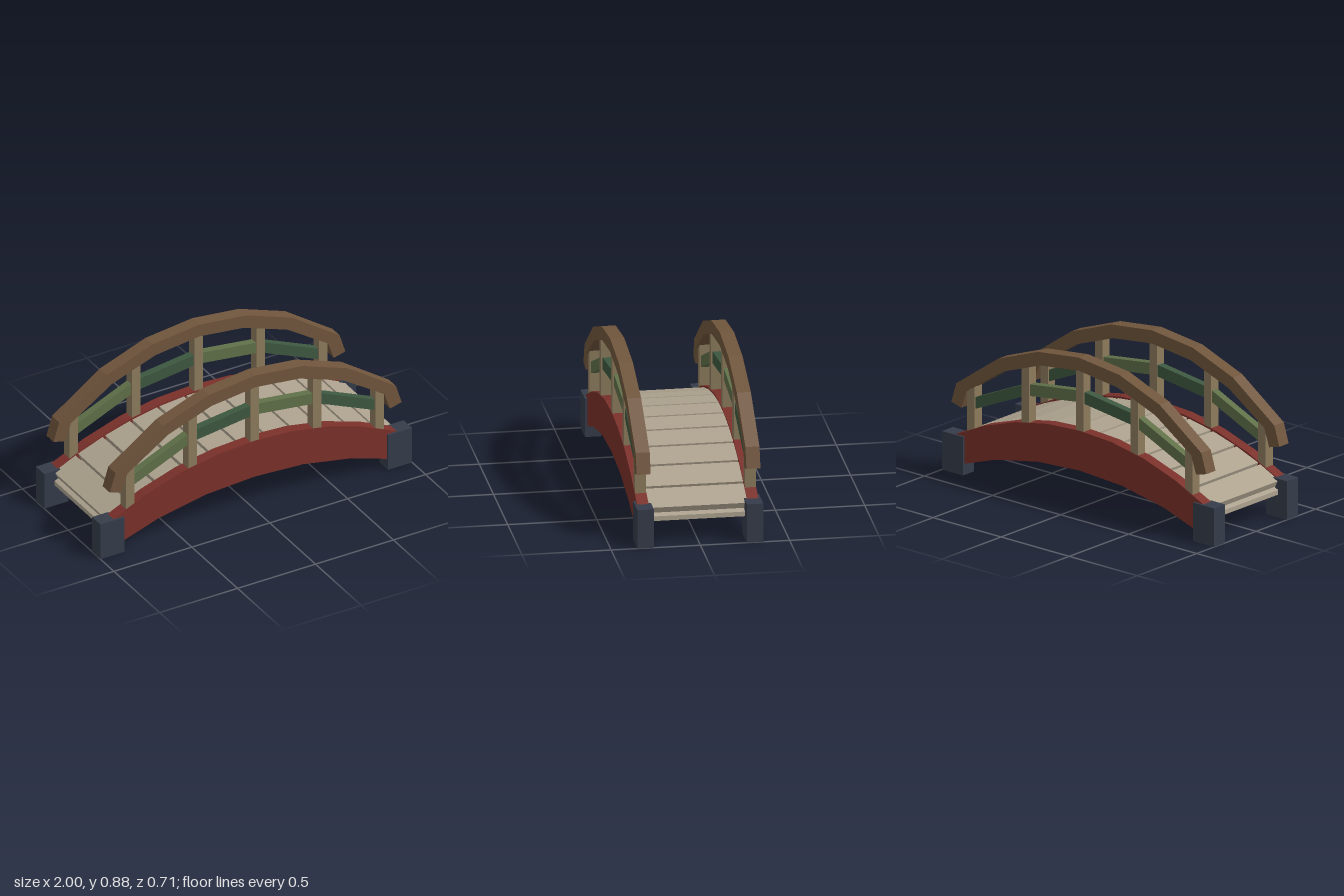
import * as THREE from 'three';

const mat = (name, color) => {
  const m = new THREE.MeshStandardMaterial({ color });
  m.name = name;
  return m;
};

export function createModel() {
  const red = mat('red beam paint', 0x7a302a);
  const brown = mat('handrail wood', 0x70553c);
  const tan = mat('post wood', 0x8c7b5c);
  const lightGreen = mat('light green paint', 0x5f7048);
  const darkGreen = mat('dark green paint', 0x3d5840);
  const slate = mat('slate stone', 0x353c49);
  const weathered = mat('weathered planks', 0xada28e);

  const bridge = new THREE.Group();
  bridge.name = 'archedFootbridge';

  const add = (parent, name, geometry, material) => {
    const mesh = new THREE.Mesh(geometry, material);
    mesh.name = name;
    parent.add(mesh);
    return mesh;
  };

  // Flat outline in x/y, extruded between two z values
  const slab = (points, z0, z1) => {
    const shape = new THREE.Shape(points.map(([x, y]) => new THREE.Vector2(x, y)));
    const g = new THREE.ExtrudeGeometry(shape, { depth: z1 - z0, bevelEnabled: false });
    return g.translate(0, 0, z0);
  };

  // Full symmetric outline from right-half edges listed from the middle outwards
  const mirrorX = (pts) => [...pts.slice(1).reverse().map(([x, y]) => [-x, y]), ...pts];
  const band = (top, bottom) => [...mirrorX(bottom), ...mirrorX(top).reverse()];

  const beamOutline = band(
    [[0, 0.45], [0.235, 0.437], [0.47, 0.394], [0.7, 0.32], [0.92, 0.22]],
    [[0, 0.217], [0.31, 0.199], [0.62, 0.14], [0.92, 0.04]]
  );
  const handrailOutline = band(
    [[0, 0.88], [0.3, 0.846], [0.595, 0.738], [0.9, 0.526], [0.936, 0.41]],
    [[0, 0.803], [0.282, 0.77], [0.562, 0.67], [0.825, 0.497], [0.862, 0.391]]
  );

  // Post positions, tops and middle rail heights
  const posts = [
    [-0.8, 0.54, 0.423], [-0.4, 0.75, 0.597], [0, 0.83, 0.648],
    [0.4, 0.75, 0.597], [0.8, 0.54, 0.423],
  ];

  // One complete side on each edge of the deck
  for (const s of [1, -1]) {
    const side = new THREE.Group();
    side.name = s > 0 ? 'frontSide' : 'backSide';
    bridge.add(side);
    const span = (a, b) => (s > 0 ? [a, b] : [-b, -a]);

    add(side, 'archBeam', slab(beamOutline, ...span(0.275, 0.34)), red);
    add(side, 'handrail', slab(handrailOutline, ...span(0.268, 0.347)), brown);

    posts.forEach(([x, top]) => {
      const bottom = 0.42 - 0.27 * x * x;
      const post = add(side, 'railPost', new THREE.BoxGeometry(0.055, top - bottom, 0.06), tan);
      post.position.set(x, (top + bottom) / 2, s * 0.308);
    });

    // Middle rails, alternating two greens
    for (let i = 0; i < 4; i++) {
      const [x0, , y0] = posts[i];
      const [x1, , y1] = posts[i + 1];
      const h = 0.034;
      const outline = [[x0, y0 - h], [x1, y1 - h], [x1, y1 + h], [x0, y0 + h]];
      add(side, 'middleRail', slab(outline, ...span(0.286, 0.33)), i % 2 ? darkGreen : lightGreen);
    }

    // Stone footings
    for (const sx of [1, -1]) {
      const footing = add(side, 'footing', new THREE.BoxGeometry(0.155, 0.225, 0.093), slate);
      footing.position.set(sx * 0.9225, 0.1125, s * 0.3065);
    }
  }

  // Supporting deck sheet beneath the planks
  const xs = [0, 0.31, 0.62, 0.935];
  const arc = (x, y) => y - 0.268 * x * x;
  add(bridge, 'deckBase', slab(band(
    xs.map((x) => [x, arc(x, 0.394)]),
    xs.map((x) => [x, arc(x, 0.367)])
  ), -0.276, 0.276), weathered);

  // Planks laid along the arch
  const thickness = 0.038;
  for (let i = -5; i <= 5; i++) {
    const gap = 0.008;
    const a = i === -5 ? -0.93 : (i - 0.5) * 0.174 + gap;
    const b = i === 5 ? 0.93 : (i + 0.5) * 0.174 - gap;
    const ya = arc(a, 0.441), yb = arc(b, 0.441);
    const angle = Math.atan2(yb - ya, b - a);
    const plank = add(bridge, 'deckPlank',
      new THREE.BoxGeometry(Math.hypot(b - a, yb - ya), thickness, 0.552), weathered);
    plank.rotation.z = angle;
    plank.position.set(
      (a + b) / 2 + Math.sin(angle) * thickness / 2,
      (ya + yb) / 2 - Math.cos(angle) * thickness / 2, 0);
  }

  return bridge;
}
